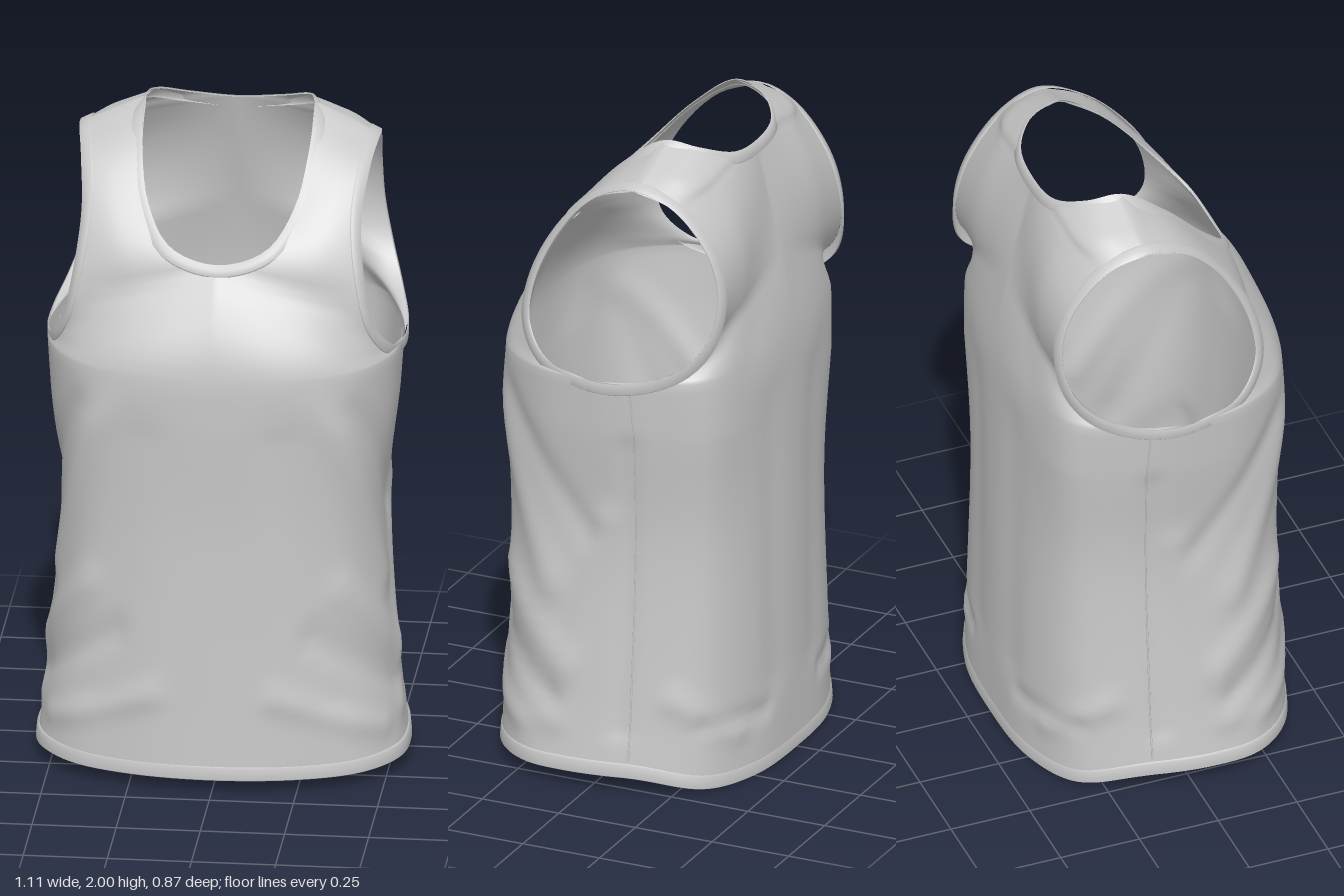
import * as THREE from 'three';
import { mergeVertices } from 'three/addons/utils/BufferGeometryUtils.js';

const V = (x, y, z) => new THREE.Vector3(x, y, z);
const smooth = THREE.MathUtils.smoothstep;
const flip = (p) => V(-p.x, p.y, p.z);

// Horizontal cross-sections [x, z], from front centre round the left side to back centre
const HEM = [[0, .435], [.25, .405], [.43, .33], [.53, .21], [.549, .06], [.51, -.17], [.435, -.32], [.25, -.405], [0, -.425]];
const WAIST = [[0, .41], [.24, .39], [.39, .315], [.465, .19], [.48, .01], [.455, -.18], [.39, -.32], [.22, -.398], [0, -.42]];
const CHEST = [[0, .42], [.24, .40], [.4, .325], [.495, .18], [.515, 0], [.485, -.18], [.41, -.34], [.22, -.403], [0, -.42]];

// Openings on the left half
const NECK_POINT = V(.25, 2, -.11), SHOULDER_POINT = V(.445, 1.91, -.1);
const NECK_FRONT = [V(0, 1.62, .275), V(.14, 1.66, .25), V(.215, 1.76, .16), V(.247, 1.9, .03), NECK_POINT];
const NECK_BACK = [NECK_POINT, V(.225, 1.985, -.205), V(.14, 1.95, -.275), V(0, 1.935, -.29)];
const ARM_FRONT = [V(.528, 1.315, .01), V(.5, 1.35, .16), V(.457, 1.44, .232), V(.43, 1.57, .225),
  V(.413, 1.73, .15), V(.428, 1.86, .03), SHOULDER_POINT];
const ARM_BACK = [ARM_FRONT[0], V(.523, 1.325, -.13), V(.49, 1.38, -.27), V(.457, 1.47, -.345),
  V(.43, 1.6, -.368), V(.425, 1.74, -.33), V(.435, 1.87, -.22), SHOULDER_POINT];

// Centre lines from the chest up to the neck; the second point is level with the armpit
const CENTRE_FRONT = [V(0, 1.15, .42), V(0, 1.3, .417), V(0, 1.4, .395), V(0, 1.52, .34), V(0, 1.62, .275)];
const CENTRE_BACK = [V(0, 1.15, -.42), V(0, 1.34, -.415), V(0, 1.52, -.39), V(0, 1.74, -.34), V(0, 1.935, -.29)];

// Cloth folds: start [u, y], end [u, y], width, height; u runs 0 front, .25 side, .5 back
const FOLDS = [
  [[.10, 1.25], [.20, .62], .05, .014], [[.14, 1.2], [.24, .8], .04, -.01],
  [[.13, .62], [.22, .38], .045, .012], [[.10, .48], [.21, .27], .04, -.012],
  [[.26, .85], [.215, .2], .045, .009], [[.285, 1.1], [.28, .2], .035, -.008],
  [[.06, .3], [.17, .17], .04, .01], [[.33, .3], [.40, .17], .04, .01],
  [[.36, .22], [.44, .2], .03, -.01], [[.45, 1.2], [.455, .3], .07, -.008], [[.07, 1.1], [.12, .3], .08, -.008]];

function foldHeight(u, y) {
  let h = 0;
  for (const [a, b, w, d] of FOLDS) {
    const ax = a[0] * 2.9, bx = b[0] * 2.9, dx = bx - ax, dy = b[1] - a[1];
    const px = u * 2.9 - ax, py = y - a[1];
    const t = THREE.MathUtils.clamp((px * dx + py * dy) / (dx * dx + dy * dy), 0, 1);
    h += d * Math.exp(-((px - t * dx) ** 2 + (py - t * dy) ** 2) / (w * w));
  }
  return h * smooth(y, .06, .2) * (1 - smooth(y, 1.1, 1.3));
}

// Closed loop from its left half
function mirroredLoop(half) {
  return new THREE.CatmullRomCurve3([...half, ...half.slice(1, -1).reverse().map(flip)], true);
}
const ring = (section, y) => mirroredLoop(section.map(([x, z]) => V(x, y, z)));
const RINGS = [ring(HEM, .05), ring(WAIST, .8), ring(CHEST, 1.15)];

// Second half of a curve that is symmetric about the centre, from the centre outward
function neckHalf(fromCentre) {
  const c = new THREE.CatmullRomCurve3([...fromCentre.slice(1).reverse().map(flip), ...fromCentre]);
  return (t) => c.getPoint(.5 + t / 2);
}

const COLUMNS = 44, LOWER = 40, PIT = 6, CLIMB = 20, NECK = 18;

// Quarter of the garment as columns from the centre line out to the side.
// armShare is how far up the armhole a row lies when it meets the middle of the neck.
function panel(isFront, centrePts, neckPts, armPts, armShare) {
  const centre = new THREE.CatmullRomCurve3(centrePts), arm = new THREE.CatmullRomCurve3(armPts);
  const neck = neckHalf(neckPts);
  const uAt = (w) => (isFront ? w * .25 : .5 - w * .25);
  const side = RINGS[2].getPointAt(.25), mid = RINGS[2].getPointAt(uAt(0));

  // pairs of inner and outer row ends above the chest, with the least bulge of the row
  const rows = [];
  for (let i = 1; i <= PIT; i++)
    rows.push([centre.getPoint(.25 * i / PIT), side.clone().lerp(armPts[0], i / PIT), .15]);
  for (let i = 1; i <= CLIMB; i++)
    rows.push([centre.getPoint(.25 + .75 * i / CLIMB), arm.getPoint(armShare * i / CLIMB), .15]);
  for (let i = 1; i <= NECK; i++)
    rows.push([neck(i / NECK), arm.getPoint(armShare + (1 - armShare) * i / NECK), .15 * (1 - i / NECK)]);

  const cols = [];
  for (let j = 0; j <= COLUMNS; j++) {
    const w = j / COLUMNS, u = uAt(w);
    const [hem, waist, chest] = RINGS.map((r) => r.getPointAt(u));
    hem.y = .055 - .045 * smooth(-hem.z, .1, .43) - .008 * smooth(hem.z, .1, .43);
    const low = hem.clone().lerp(waist, .45).setY(.3);
    const lower = new THREE.CatmullRomCurve3([hem, low, waist, chest]);
    const pts = [];
    for (let i = 0; i <= LOWER; i++) pts.push(lower.getPoint(i / LOWER));
    const bulge = chest.clone().sub(mid.clone().lerp(side, w));
    rows.forEach(([a, b, least], i) => {
      const end = i === rows.length - 1 ? 0 : Math.max(least, (a.z - b.z) / (mid.z - side.z));
      pts.push(a.clone().lerp(b, w).addScaledVector(bulge, end));
    });
    for (const p of pts) {
      const h = foldHeight(u, p.y) / Math.hypot(p.x, p.z);
      p.x += p.x * h;
      p.z += p.z * h;
    }
    cols.push(pts);
  }
  return isFront ? cols : cols.reverse();
}

// Smooth surface from strips of columns; coincident edges are joined
function sheet(strips) {
  const pos = [], idx = [];
  for (const cols of strips) {
    const base = pos.length, rows = cols[0].length;
    pos.push(...cols.flat());
    for (let j = 0; j < cols.length - 1; j++)
      for (let i = 0; i < rows - 1; i++) {
        const a = base + j * rows + i, b = a + rows;
        idx.push(a, b, b + 1, a, b + 1, a + 1);
      }
  }
  let g = new THREE.BufferGeometry().setFromPoints(pos);
  g.setIndex(idx);
  g = mergeVertices(g, 1e-4);
  g.computeVertexNormals();
  return g;
}

// Flat binding that follows an opening; away(p) gives its direction, lift(p) its rise
function binding(curve, n, away, lift, width) {
  const cols = [];
  for (let i = 0; i <= n; i++) {
    const p = curve.getPointAt(i / n), t = curve.getTangentAt(i / n);
    const d = away(p);
    d.addScaledVector(t, -d.dot(t)).normalize();
    const at = (s, k) => p.clone().addScaledVector(d, s * width).addScaledVector(lift(p), k);
    cols.push([at(1, 0), at(.96, 1), at(.5, 1), at(.04, 1), at(0, 0)]);
  }
  return sheet([cols]);
}

export function createModel() {
  const group = new THREE.Group();
  const cloth = new THREE.MeshStandardMaterial({ color: 0xc8c8c8, side: THREE.DoubleSide });
  cloth.name = 'light grey cloth';
  const add = (name, geometry) => {
    const m = new THREE.Mesh(geometry, cloth);
    m.name = name;
    group.add(m);
  };

  // Main garment
  const front = panel(true, CENTRE_FRONT, NECK_FRONT, ARM_FRONT, .42);
  const back = panel(false, CENTRE_BACK, [...NECK_BACK].reverse(), ARM_BACK, .8);
  const mirror = (cols) => cols.map((c) => c.map(flip)).reverse();
  const strips = [front, back, mirror(back), mirror(front)];
  add('body', sheet(strips));

  // Hem band
  add('hemBand', sheet(strips.map((cols) => cols.map((c) => {
    const at = (y, k) => V(c[0].x * k, c[0].y + y, c[0].z * k);
    return [at(0, 1), at(.004, 1.01), at(.04, 1.004), at(.045, .99)];
  }))));

  // Neck binding
  add('neckBinding', binding(mirroredLoop([...NECK_FRONT, ...NECK_BACK.slice(1)]), 120, (p) => {
    const r = Math.hypot(p.x, p.z), rz = p.z / r;
    return V(p.x / r, -.5 - (rz > 0 ? 1.5 : 2.5) * rz * rz, rz);
  }, (p) => V(0, .004, .006 * Math.sign(p.z) * smooth(Math.abs(p.z), .05, .25)), .038));

  // Armhole bindings and side seams on both sides
  const armLoop = [...ARM_FRONT, ...ARM_BACK.slice(1, -1).reverse()];
  for (const s of [1, -1]) {
    const name = s > 0 ? 'left' : 'right';
    const loop = new THREE.CatmullRomCurve3(armLoop.map((p) => V(p.x * s, p.y, p.z)), true);
    add(name + 'ArmholeBinding', binding(loop, 100, (p) => {
      const d = V(0, p.y - 1.6, p.z + .07).normalize();
      d.x = -s * (1 + d.y);
      if (d.z < 0) d.z *= .4;
      return d;
    }, (p) => V(.004 * s, .002, .005 * Math.sign(p.z + .07) * smooth(Math.abs(p.z + .07), .1, .28)), .035));
    const seam = back[7].slice(3, LOWER + PIT).map((p) => V(p.x * s, p.y, p.z));
    add(name + 'SideSeam', new THREE.TubeGeometry(new THREE.CatmullRomCurve3(seam), 80, .003, 6));
  }
  return group;
}
